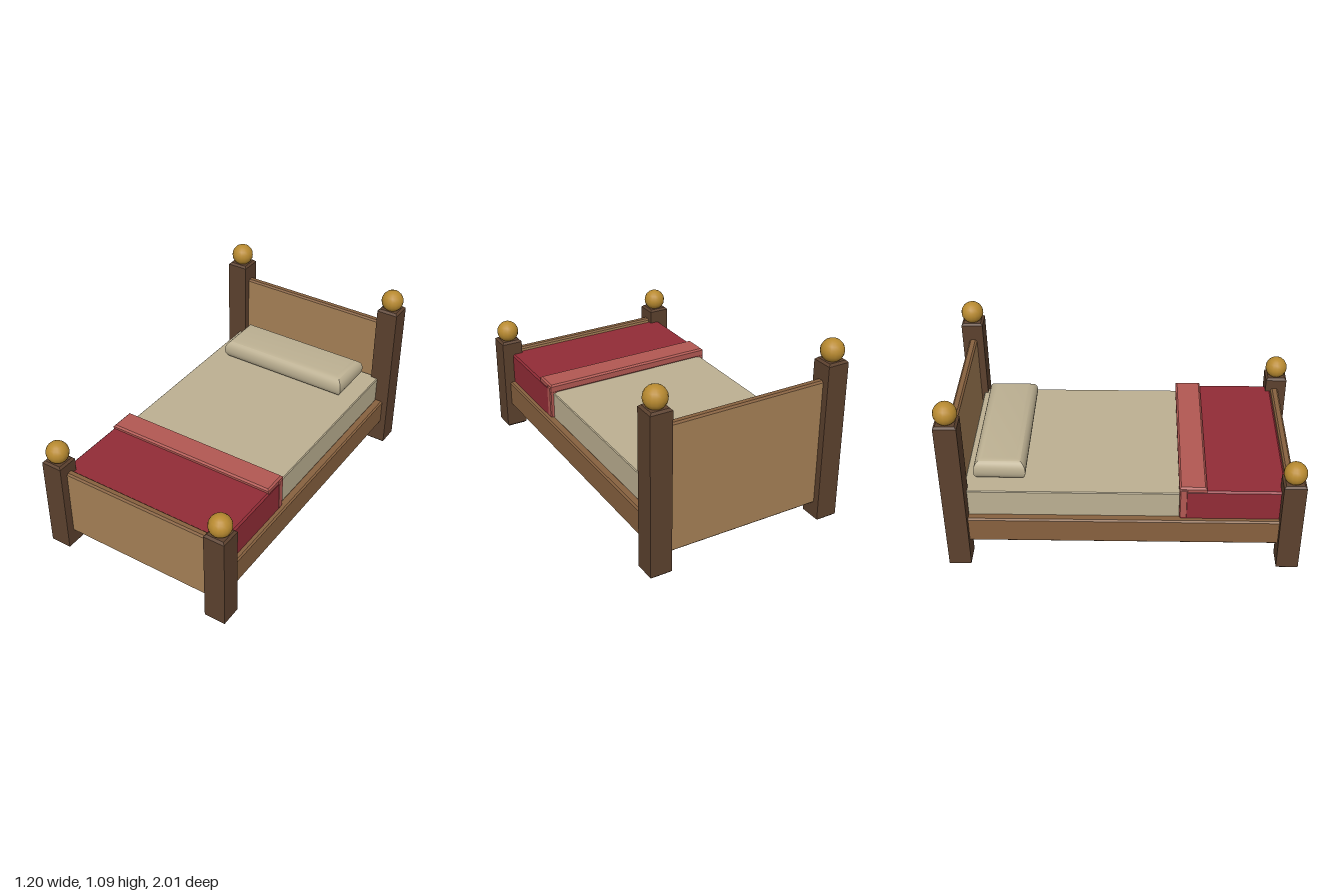
import * as THREE from 'three';
import { toCreasedNormals } from 'three/addons/utils/BufferGeometryUtils.js';

const mat = (name, color) => new THREE.MeshStandardMaterial({ name, color });

// Box whose two caps along the chosen axis have bevelled rims (group 0 = caps, group 1 = sides).
function bevelBox([x0, x1], [y0, y1], [z0, z1], axis, bevel, segments = 1, thickness = bevel) {
  const size = [x1 - x0, y1 - y0, z1 - z0];
  const [w, h, d] = axis === 'x' ? [size[2], size[1], size[0]]
    : axis === 'y' ? [size[0], size[2], size[1]] : size;
  const a = w / 2 - bevel, b = h / 2 - bevel;
  const shape = new THREE.Shape([[-a, -b], [a, -b], [a, b], [-a, b]].map(p => new THREE.Vector2(...p)));
  const geo = new THREE.ExtrudeGeometry(shape, {
    depth: d - 2 * thickness, bevelSize: bevel, bevelThickness: thickness, bevelSegments: segments,
  });
  geo.translate(0, 0, thickness - d / 2);
  if (axis === 'x') geo.rotateY(Math.PI / 2);
  if (axis === 'y') geo.rotateX(-Math.PI / 2);
  return geo.translate((x0 + x1) / 2, (y0 + y1) / 2, (z0 + z1) / 2);
}

export function createModel() {
  const bed = new THREE.Group();
  bed.name = 'bed';
  const darkWood = mat('dark wood', 0x5c412e);
  const railWood = mat('rail wood', 0x87613f);
  const panelWood = mat('panel wood', 0xa58056);
  const brass = mat('brass', 0xb88a30);
  const linen = mat('linen', 0xbcb092);
  const red = mat('red blanket', 0x922c36);
  const pink = mat('folded blanket', 0xb25852);

  const add = (name, geo, material) => {
    const mesh = new THREE.Mesh(geo, material);
    mesh.name = name;
    bed.add(mesh);
  };

  // Corner posts with ball finials, and side rails
  for (const [side, s] of [['left', 1], ['right', -1]]) {
    const span = (a, b) => (s > 0 ? [a, b] : [-b, -a]);
    for (const [end, z, top] of [['Front', 0.937, 0.595], ['Back', -0.937, 0.97]]) {
      add(side + end + 'Post', bevelBox(span(0.472, 0.6), [0, top], [z - 0.063, z + 0.063], 'y', 0.012), darkWood);
      const ball = new THREE.SphereGeometry(0.066, 16, 10);
      add(side + end + 'Finial', ball.translate(s * 0.536, top + 0.05, z), brass);
    }
    add(side + 'Rail', bevelBox(span(0.51, 0.565), [0.155, 0.315], [-0.9, 0.9], 'x', 0.009), railWood);
    // Turned-back blanket edge hanging down the side
    add(side + 'FoldDrop', bevelBox(span(0.49, 0.537), [0.318, 0.515], [0.312, 0.358], 'x', 0.006), pink);
  }

  // End panels: pale faces with darker edges
  add('headboard', bevelBox([-0.49, 0.49], [0.1, 0.862], [-0.96, -0.914], 'z', 0.01), [panelWood, railWood]);
  add('footboard', bevelBox([-0.49, 0.49], [0.1, 0.526], [0.905, 0.951], 'z', 0.01), [panelWood, railWood]);

  // Bedding
  add('mattress', bevelBox([-0.515, 0.515], [0.21, 0.475], [-0.897, 0.905], 'y', 0.005), linen);
  const pillow = bevelBox([-0.42, 0.42], [0.472, 0.604], [-0.845, -0.552], 'y', 0.055, 6, 0.06);
  add('pillow', toCreasedNormals(pillow, 0.6), linen);
  add('blanket', bevelBox([-0.535, 0.535], [0.305, 0.505], [0.32, 0.906], 'y', 0.01), red);
  add('blanketFold', bevelBox([-0.532, 0.532], [0.474, 0.528], [0.31, 0.463], 'y', 0.01), pink);
  return bed;
}
